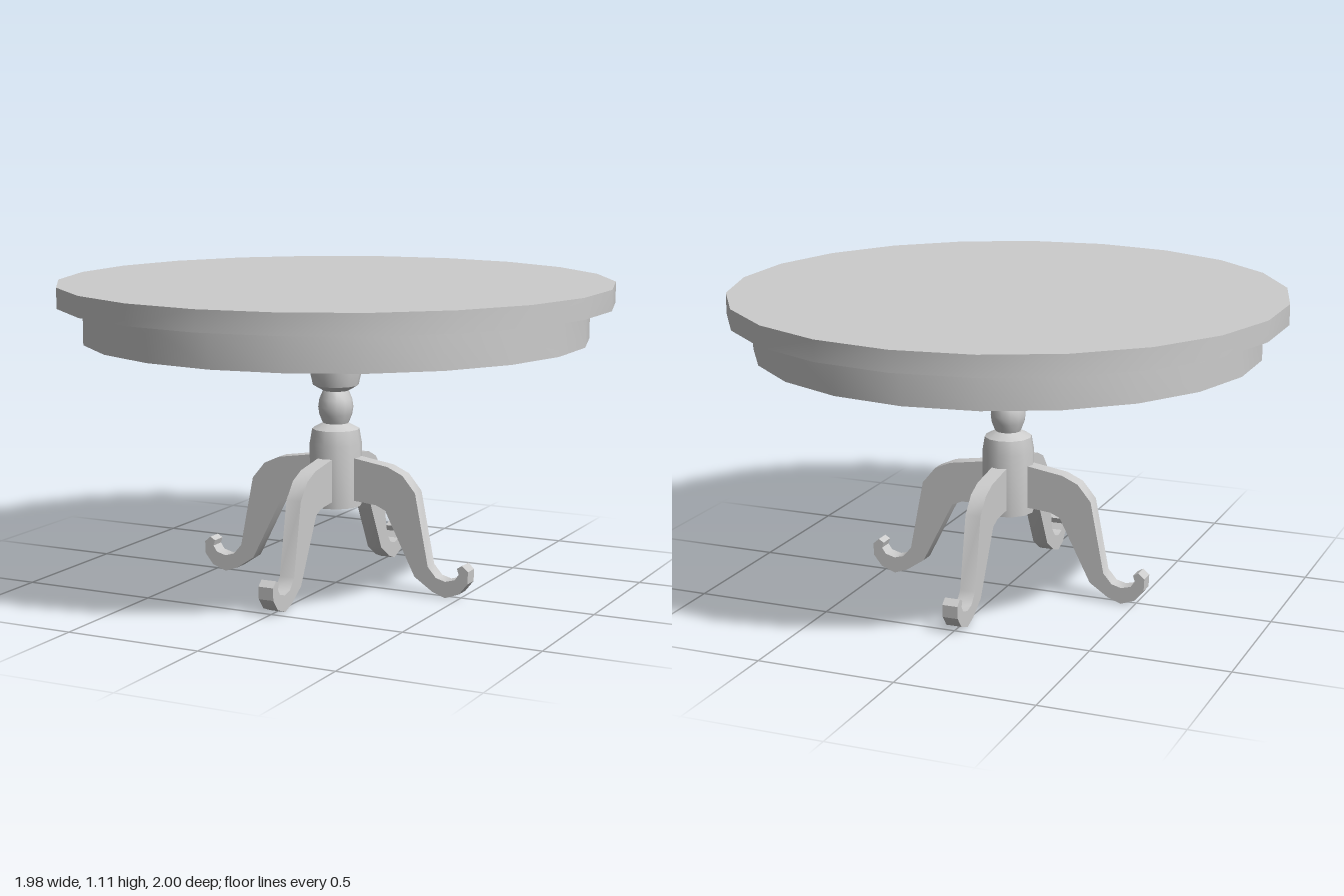
import * as THREE from 'three';
import { toCreasedNormals } from 'three/addons/utils/BufferGeometryUtils.js';

const material = new THREE.MeshStandardMaterial({ color: 0xcccccc });
const SIDES = 22;

function part(name, geometry) {
  const mesh = new THREE.Mesh(toCreasedNormals(geometry, 0.6), material);
  mesh.name = name;
  return mesh;
}

// Lathe from [radius, height] pairs, outside traced from bottom to top
function turned(name, profile, sides) {
  const points = profile.map(([r, y]) => new THREE.Vector2(r, y));
  return part(name, new THREE.LatheGeometry(points, sides));
}

// Scrolled leg outline in its own plane: x outward from the column, y up
const LEG = [
  [0.06, 0.32], [0.1, 0.32], [0.175, 0.313], [0.212, 0.297], [0.33, 0.065],
  [0.4, 0.018], [0.45, 0], [0.504, 0.02], [0.536, 0.06], [0.538, 0.105],
  [0.515, 0.125], [0.495, 0.113], [0.502, 0.092], [0.487, 0.07], [0.45, 0.06],
  [0.414, 0.07], [0.382, 0.107], [0.33, 0.37], [0.28, 0.43], [0.22, 0.457],
  [0.09, 0.477], [0.06, 0.477],
];
const LEG_WIDTH = 0.057;

export function createModel() {
  const table = new THREE.Group();
  table.name = 'roundPedestalTable';

  // Faceted round top
  const top = new THREE.CylinderGeometry(1, 1, 0.074, SIDES);
  top.translate(0, 1.077, 0);
  table.add(part('tableTop', top));

  // Thin hollow apron under the top
  table.add(turned('apron', [
    [0.88, 1.04], [0.88, 0.91], [0.91, 0.91], [0.91, 1.04],
  ], SIDES));

  // Turned column with a bead between its two drums
  table.add(turned('column', [
    [0, 0.295], [0.095, 0.295], [0.095, 0.525], [0.086, 0.577], [0.047, 0.598],
    [0.06, 0.63], [0.064, 0.657], [0.06, 0.685], [0.047, 0.717],
    [0.083, 0.737], [0.095, 0.79], [0.095, 1.04],
  ], 12));

  // Four scrolled legs
  const outline = new THREE.Shape(LEG.map(([x, y]) => new THREE.Vector2(x, y)));
  const legGeometry = new THREE.ExtrudeGeometry(outline, { depth: LEG_WIDTH, bevelEnabled: false });
  legGeometry.translate(0, 0, -LEG_WIDTH / 2);
  ['leftLeg', 'backLeg', 'rightLeg', 'frontLeg'].forEach((name, i) => {
    const leg = part(name, legGeometry);
    leg.rotation.y = i * Math.PI / 2;
    table.add(leg);
  });

  return table;
}
